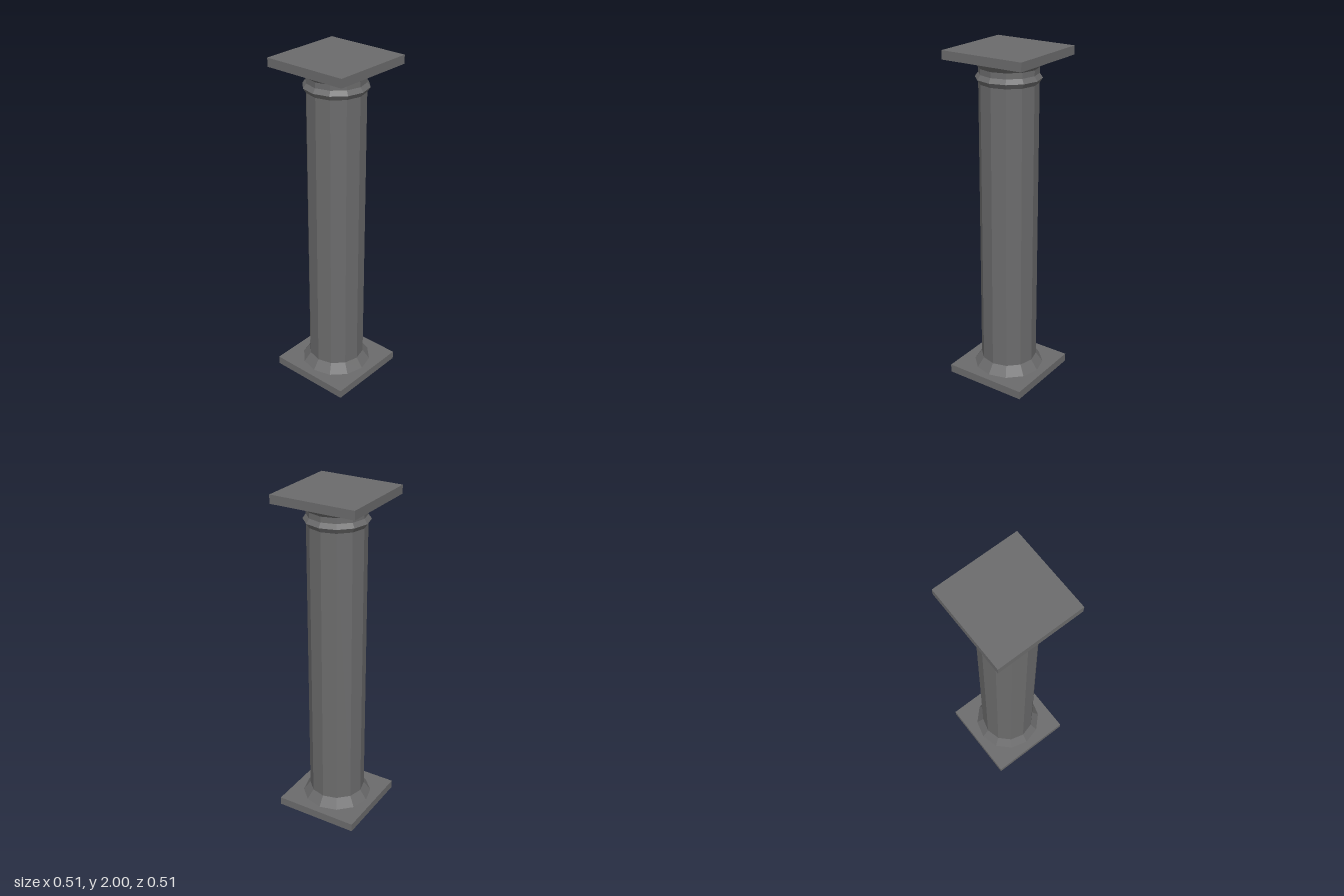
import * as THREE from 'three';

export function createModel() {
  const model = new THREE.Group();
  model.name = 'column';
  const stone = new THREE.MeshStandardMaterial({ color: 0x6b6b6c, flatShading: true });
  stone.name = 'grey stone';

  const SIDES = 12;
  const PLATE_WIDTH = 0.512;
  const PLATE_HEIGHT = 0.05;

  function add(name, geometry, y = 0) {
    const mesh = new THREE.Mesh(geometry, stone);
    mesh.name = name;
    mesh.position.y = y;
    model.add(mesh);
  }

  // Twelve-sided turned section from [radius, height] pairs, bottom to top
  function turned(name, profile) {
    const points = profile.map(([r, y]) => new THREE.Vector2(r, y));
    add(name, new THREE.LatheGeometry(points, SIDES));
  }

  // Square plates at the foot and the top
  const plate = new THREE.BoxGeometry(PLATE_WIDTH, PLATE_HEIGHT, PLATE_WIDTH);
  add('basePlate', plate, PLATE_HEIGHT / 2);
  add('topPlate', plate, 2 - PLATE_HEIGHT / 2);

  // Flared foot, plain shaft, and capital with a raised ring below its flare
  turned('foot', [[0.21, 0.05], [0.168, 0.108]]);
  turned('shaft', [[0.168, 0.108], [0.168, 1.815]]);
  turned('capital', [[0.168, 1.815], [0.186, 1.842], [0.168, 1.868], [0.168, 1.9], [0.21, 1.95]]);

  return model;
}
